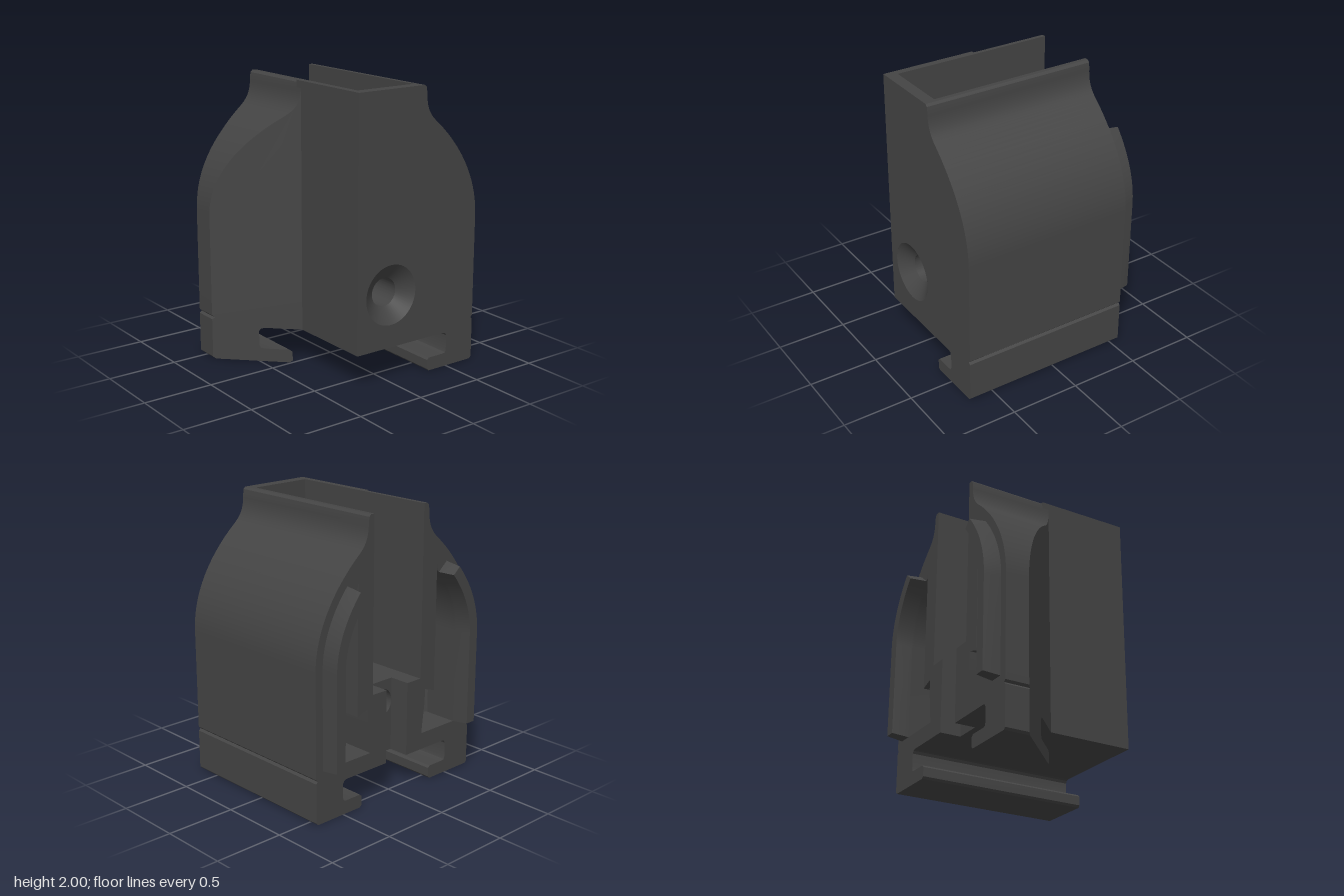
import * as THREE from 'three';
import { toCreasedNormals } from 'three/addons/utils/BufferGeometryUtils.js';

const BACK = -0.57, FRONT = 0.68;
const V = (x, y) => new THREE.Vector2(x, y);

// Convex shoulder and concave neck of the outer wall
const shoulder = new THREE.CubicBezierCurve(V(0.74, 1.05), V(0.74, 1.33), V(0.58, 1.57), V(0.37, 1.75));
const neck = new THREE.CubicBezierCurve(V(0.37, 1.75), V(0.31, 1.8), V(0.28, 1.85), V(0.28, 1.95));

// Shoulder moved inwards by d, from t = 0 to tEnd
function inset(d, tEnd, n = 20) {
  const pts = [];
  for (let i = 0; i <= n; i++) {
    const t = (i / n) * tEnd;
    const p = shoulder.getPoint(t), g = shoulder.getTangent(t);
    pts.push(V(p.x - g.y * d, p.y + g.x * d));
  }
  return pts;
}

const wingOutline = [
  V(0.23, 0.25), V(0.47, 0.25), V(0.49, 0.243), V(0.5, 0.225), V(0.5, 0.12), V(0.493, 0.1), V(0.475, 0.095),
  V(0.345, 0.095), V(0.33, 0.08), V(0.33, 0.015), V(0.345, 0),
  V(0.725, 0), V(0.74, 0.015), V(0.74, 0.295), V(0.725, 0.31), V(0.74, 0.325),
  ...shoulder.getPoints(24), ...neck.getPoints(12).slice(1),
  V(0.275, 1.985), V(0.26, 2), V(0.23, 2),
];
const cavityOutline = [
  V(0.25, 0.37), V(0.58, 0.37), ...inset(0.16, 0.78), V(0.37, 1.57),
  V(0.37, 0.66), V(0.28, 0.69), V(0.275, 0.58), V(0.26, 0.46),
];
const tongueOutline = [V(0.58, 0.37), V(0.68, 0.37), ...inset(0.06, 0.76), ...inset(0.16, 0.76).reverse()];

export function createModel() {
  const model = new THREE.Group();
  const material = new THREE.MeshStandardMaterial({ color: 0x444444, side: THREE.DoubleSide });

  const add = (name, geometry) => {
    const mesh = new THREE.Mesh(geometry, material);
    mesh.name = name;
    model.add(mesh);
    return mesh;
  };
  const side = (pts, s) => pts.map((p) => V(p.x * s, p.y));

  // Extrudes a shape along z between two end rules z = from(x) and z = to(x)
  const prism = (name, shape, from, to) => {
    const g = new THREE.ExtrudeGeometry(shape, { depth: 1, bevelEnabled: false, curveSegments: 48 });
    const p = g.attributes.position;
    for (let i = 0; i < p.count; i++) p.setZ(i, p.getZ(i) > 0.5 ? to(p.getX(i)) : from(p.getX(i)));
    g.computeVertexNormals();
    return add(name, toCreasedNormals(g, 0.45));
  };
  const at = (z) => () => z;
  const box = (name, x0, x1, y0, y1, z0, z1) => {
    const mesh = add(name, new THREE.BoxGeometry(x1 - x0, y1 - y0, z1 - z0));
    mesh.position.set((x0 + x1) / 2, (y0 + y1) / 2, (z0 + z1) / 2);
  };
  const plate = (x0, x1, y0, y1, r) => {
    const shape = new THREE.Shape([V(x0, y0), V(x1, y0), V(x1, y1), V(x0, y1)]);
    shape.holes.push(new THREE.Path().absarc(0, 0.62, r, 0, Math.PI * 2, true));
    return shape;
  };

  // Side wings: full depth on one side, cut off diagonally on the other
  const wings = [
    { name: 'left', s: 1, end: at(FRONT) },
    { name: 'right', s: -1, end: (x) => -0.4 + (x + 0.74) * 0.98 },
  ];
  for (const { name, s, end } of wings) {
    const wing = new THREE.Shape(side(wingOutline, s));
    wing.holes.push(new THREE.Path(side(cavityOutline, s)));
    prism(name + 'Wing', wing, at(BACK), end);
    prism(name + 'WingFrontWall', new THREE.Shape(side(cavityOutline, s)), (x) => end(x) - 0.08, end);

    // Tapered curved tongue on the rear rim
    const tongue = new THREE.ExtrudeGeometry(new THREE.Shape(side(tongueOutline, s)), {
      depth: 0.02, bevelThickness: 0.12, bevelSize: 0.012, bevelOffset: -0.012, bevelSegments: 1,
    });
    tongue.translate(0, 0, BACK);
    add(name + 'Tongue', toCreasedNormals(tongue, 0.45));

    // Floor on either side of the rear slot
    box(name + 'SlotBlock', s > 0 ? 0.1 : -0.24, s > 0 ? 0.24 : -0.1, 0.25, 0.78, BACK, -0.42);
  }

  // Central channel: thin right wall, drilled floor block and front wall
  box('channelRightWall', -0.28, -0.23, 0.25, 2, 0, 0.61);
  prism('channelFloor', plate(-0.24, 0.24, 0.25, 0.78, 0.1), at(-0.42), at(0.6));
  prism('frontWallInner', plate(-0.28, 0.24, 0.25, 2, 0.13), at(0.6), at(0.615));
  prism('frontWall', plate(-0.28, 0.24, 0.25, 2, 0.21), at(0.615), at(FRONT));

  // Countersunk screw seat
  const seat = new THREE.LatheGeometry([V(0.1, 0.6), V(0.21, FRONT)], 48);
  seat.rotateX(Math.PI / 2);
  seat.translate(0, 0.62, 0);
  add('screwSeat', seat);

  return model;
}
